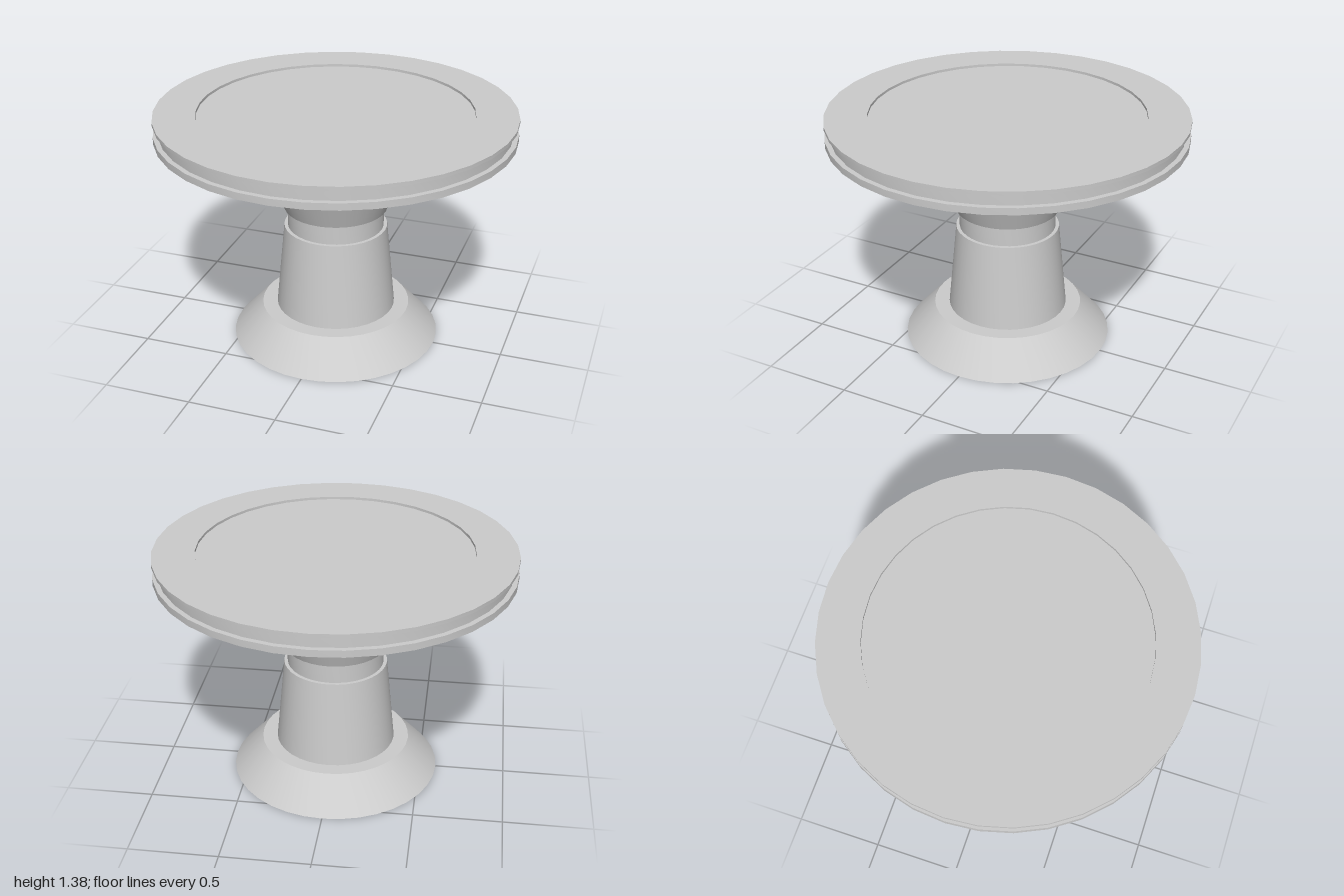
import * as THREE from 'three';
import { toCreasedNormals } from 'three/addons/utils/BufferGeometryUtils.js';

const SIDES = 36;

export function createModel() {
  const group = new THREE.Group();
  const material = new THREE.MeshStandardMaterial({ color: 0xcccccc });

  // Turned part: closed profile of [radius, height], from bottom to top
  function turned(name, profile) {
    const points = profile.map(([r, y]) => new THREE.Vector2(r, y));
    const geometry = toCreasedNormals(new THREE.LatheGeometry(points, SIDES), 0.5);
    const mesh = new THREE.Mesh(geometry, material);
    mesh.name = name;
    group.add(mesh);
  }

  // Flared foot
  turned('base', [[0, 0], [0.6, 0], [0.43, 0.187], [0, 0.187]]);

  // Tapered lower column
  turned('column', [[0, 0.16], [0.347, 0.16], [0.295, 0.69], [0, 0.69]]);

  // Narrow neck between column and support
  turned('neck', [[0, 0.68], [0.275, 0.68], [0.275, 0.815], [0, 0.815]]);

  // Cone widening up to the table top
  turned('support', [[0, 0.805], [0.295, 0.805], [0.46, 1.255], [0, 1.255]]);

  // Round top with a grooved rim and a shallow recess
  turned('tableTop', [
    [0, 1.255], [1, 1.255], [1, 1.293], [0.972, 1.293],
    [0.972, 1.36], [1, 1.36], [1, 1.38],
    [0.765, 1.38], [0.765, 1.365], [0, 1.365],
  ]);

  return group;
}
